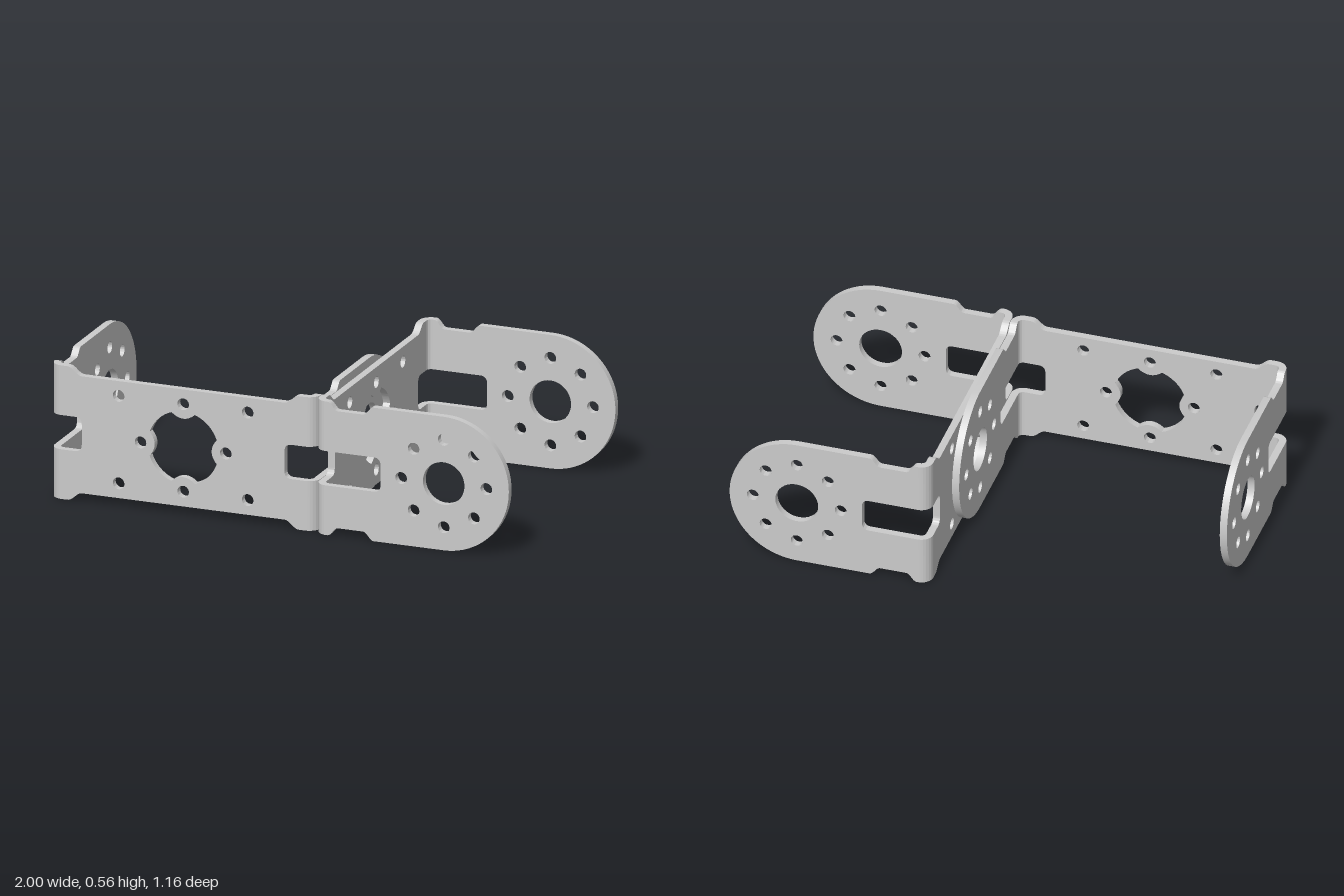
import * as THREE from 'three';
import { toCreasedNormals } from 'three/addons/utils/BufferGeometryUtils.js';

const W = 1.156, L = 0.842, H = 0.565, T = 0.03, R = 0.05; // bracket width, leg length, height, sheet, bend
const MID = H / 2, STEP = 0.035, WIN0 = 0.21, WIN1 = 0.355;
const HOLE = 0.025, RING = 0.185;

const material = new THREE.MeshStandardMaterial({ color: 0xcccccc });

function extrude(shape, depth) {
  return toCreasedNormals(
    new THREE.ExtrudeGeometry(shape, { depth, bevelEnabled: false, curveSegments: 20 }), 0.5);
}

function add(group, name, geometry) {
  const mesh = new THREE.Mesh(geometry, material);
  mesh.name = name;
  group.add(mesh);
}

function drill(shape, x, y, r) {
  const p = new THREE.Path();
  p.absarc(x, y, r, 0, Math.PI * 2, true);
  shape.holes.push(p);
}

// Soft S-shaped step along an edge
function ease(shape, x0, y0, x1, y1) {
  shape.lineTo(x0, y0);
  const d = (x1 - x0) * 0.4;
  shape.bezierCurveTo(x0 + d, y0, x1 - d, y1, x1, y1);
}

// Window open towards the bend at x0, with rounded inner corners at x1; dir +1 runs downward
function notch(shape, x0, x1, dir) {
  const r = 0.03, s = Math.sign(x1 - x0);
  const a = dir > 0 ? WIN1 : WIN0, b = dir > 0 ? WIN0 : WIN1;
  shape.lineTo(x0, a);
  shape.lineTo(x1 - s * r, a);
  shape.quadraticCurveTo(x1, a, x1, a - dir * r);
  shape.lineTo(x1, b + dir * r);
  shape.quadraticCurveTo(x1, b, x1 - s * r, b);
  shape.lineTo(x0, b);
}

// Central opening: a circle with four inward scallops
function scallopedHole() {
  const p = new THREE.Path(), r = 0.154, half = 0.335;
  for (let i = 0; i < 4; i++) {
    const a = i * Math.PI / 2;
    if (i === 0) p.moveTo(r * Math.cos(a - half), MID + r * Math.sin(a - half));
    p.quadraticCurveTo(0.102 * Math.cos(a), MID + 0.102 * Math.sin(a),
      r * Math.cos(a + half), MID + r * Math.sin(a + half));
    p.absarc(0, MID, r, a + half, a + Math.PI / 2 - half, false);
  }
  return p;
}

function webShape() {
  const s = new THREE.Shape(), e = W / 2, b = e - R;
  s.moveTo(-b, 0);
  ease(s, -e + 0.075, 0, -e + 0.14, STEP);
  ease(s, e - 0.14, STEP, e - 0.075, 0);
  s.lineTo(b, 0);
  notch(s, b, e - 0.138, -1);
  s.lineTo(b, H);
  ease(s, e - 0.075, H, e - 0.14, H - STEP);
  ease(s, -e + 0.14, H - STEP, -e + 0.075, H);
  s.lineTo(-b, H);
  notch(s, -b, -e + 0.138, 1);
  s.closePath();
  s.holes.push(scallopedHole());
  for (const x of [-0.28, 0, 0.28]) for (const y of [-RING, RING]) drill(s, x, MID + y, HOLE);
  for (const x of [-RING, RING]) drill(s, x, MID, HOLE);
  return s;
}

function legShape() {
  const s = new THREE.Shape(), c = L - MID;
  s.moveTo(R, 0);
  ease(s, 0.055, 0, 0.1, STEP);
  ease(s, 0.208, STEP, 0.255, 0);
  s.lineTo(c, 0);
  s.absarc(c, MID, MID, -Math.PI / 2, Math.PI / 2, false);
  ease(s, 0.255, H, 0.208, H - STEP);
  ease(s, 0.1, H - STEP, 0.055, H);
  s.lineTo(R, H);
  notch(s, R, 0.285, 1);
  s.closePath();
  // Shaft hole and its ring of screw holes
  drill(s, c, MID, 0.09);
  for (let i = 0; i < 8; i++) {
    const a = i * Math.PI / 4;
    drill(s, c + RING * Math.cos(a), MID + RING * Math.sin(a), HOLE);
  }
  return s;
}

// Quarter bend of the sheet, between heights y0 and y1
function bend(side, y0, y1) {
  const a = side > 0 ? -Math.PI / 2 : -Math.PI, s = new THREE.Shape();
  s.absarc(0, 0, R, a, a + Math.PI / 2, false);
  s.absarc(0, 0, R - T, a + Math.PI / 2, a, true);
  s.closePath();
  return extrude(s, y1 - y0).rotateX(-Math.PI / 2).translate(side * (W / 2 - R), y0, -R);
}

// U-shaped bracket: outer web face at z = 0, legs running to -z
function createBracket(name) {
  const g = new THREE.Group();
  g.name = name;
  add(g, 'web', extrude(webShape(), T).translate(0, 0, -T));
  for (const side of [-1, 1]) {
    const label = side > 0 ? 'left' : 'right';
    add(g, label + 'Leg',
      extrude(legShape(), T).rotateY(Math.PI / 2).translate(side > 0 ? W / 2 - T : -W / 2, 0, 0));
    add(g, label + 'LowerBend', bend(side, 0, WIN0));
    add(g, label + 'UpperBend', bend(side, WIN1, H));
  }
  return g;
}

export function createModel() {
  const model = new THREE.Group();
  model.name = 'doubleBracket';

  const front = createBracket('frontBracket');
  front.position.set(-1 + W / 2, 0, 0.557);

  const side = createBracket('sideBracket');
  side.rotation.y = -Math.PI / 2;
  side.position.set(1 - L, 0, 0);

  model.add(front, side);
  return model;
}
